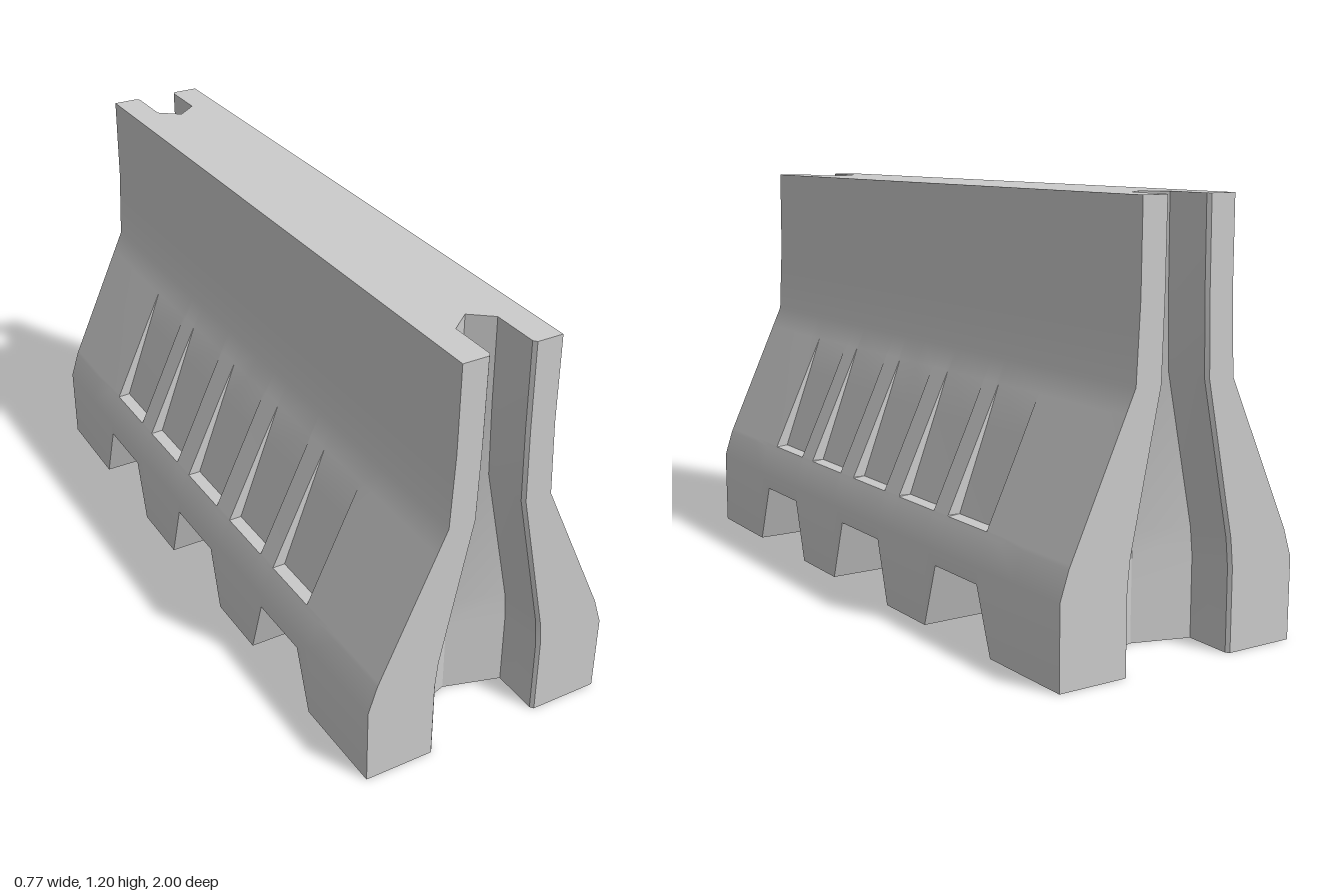
import * as THREE from 'three';
import { mergeGeometries, toCreasedNormals } from 'three/addons/utils/BufferGeometryUtils.js';

const HEIGHT = 1.2;

// Piecewise-linear lookup through [key, value] pairs
function lerpTable(table, k) {
  if (k <= table[0][0]) return table[0][1];
  for (let i = 1; i < table.length; i++) {
    const [k0, v0] = table[i - 1], [k1, v1] = table[i];
    if (k <= k1) return v0 + (v1 - v0) * (k - k0) / (k1 - k0);
  }
  return table[table.length - 1][1];
}

// Half width of the body, half width of the end groove, and underside height with forklift notches
const OUTER = [[0, 0.387], [0.23, 0.385], [0.31, 0.358], [0.735, 0.157], [0.95, 0.147], [1.2, 0.146]];
const GROOVE = [[0, 0.165], [0.23, 0.165], [0.31, 0.157], [0.735, 0.07], [0.95, 0.064], [1.2, 0.062]];
const NOTCH = [[0.11, 0.183], [0.165, 0], [0.375, 0], [0.43, 0.183], [0.635, 0.183], [0.7, 0]];
const underside = z => lerpTable(NOTCH, Math.abs(z));
const groove = y => lerpTable(GROOVE, y);
// The base swells slightly towards the middle of the length
const outer = (y, z) => lerpTable(OUTER, y) - 0.01 * z * z * Math.max(0, 1 - y / 0.735);

// Wedge pockets in the sloping flanks: deepest at the bottom, fading out at the top
const POCKETS = [-0.54, -0.275, 0, 0.275, 0.54];
const POCKET_HALF = 0.096, POCKET_LOW = 0.32, POCKET_TOP = 0.67, WALL = 0.003;
function pocketDepth(y, z) {
  if (y < POCKET_LOW + WALL / 2 || y > POCKET_TOP) return 0;
  const inside = POCKETS.some(c => Math.abs(z - c) < POCKET_HALF - WALL / 2);
  return inside ? 0.035 * (POCKET_TOP - y) / (POCKET_TOP - POCKET_LOW) : 0;
}

// Surface through a grid of points; its front faces rowDirection x columnDirection
function grid(rows, cols, point, flip) {
  const pos = [], index = [];
  rows.forEach(r => cols.forEach(c => pos.push(...point(r, c))));
  const n = cols.length;
  for (let i = 0; i < rows.length - 1; i++) {
    for (let j = 0; j < n - 1; j++) {
      const a = i * n + j, b = a + 1, d = a + n, c = d + 1;
      if (flip) index.push(a, c, d, a, b, c);
      else index.push(a, d, c, a, c, b);
    }
  }
  const g = new THREE.BufferGeometry();
  g.setAttribute('position', new THREE.Float32BufferAttribute(pos, 3));
  g.setIndex(index);
  return g;
}

export function createModel() {
  const group = new THREE.Group();
  const material = new THREE.MeshStandardMaterial({ color: 0xcccccc });
  const add = (name, geometries) => {
    const mesh = new THREE.Mesh(toCreasedNormals(mergeGeometries(geometries), 0.5), material);
    mesh.name = name;
    group.add(mesh);
  };
  const sides = [1, -1];

  // Stations along the length: notch corners, groove corners and pocket edges
  const stations = new Set([0]);
  for (const s of sides) {
    for (const z of [...NOTCH.map(p => p[0]), 0.8, 0.85, 0.99, 1]) stations.add(s * z);
    for (const c of POCKETS) {
      stations.add(c + s * POCKET_HALF);
      stations.add(c + s * (POCKET_HALF - WALL));
    }
  }
  const zs = [...stations].sort((a, b) => a - b);

  // Flanks with pockets; the lowest row follows the notches
  const levels = [0, 0.23, 0.31, POCKET_LOW, POCKET_LOW + WALL, 0.44, 0.56, POCKET_TOP, 0.735, 0.84, 0.95, HEIGHT];
  add('flanks', sides.map(s => grid(levels, zs, (level, z) => {
    const y = level === 0 ? underside(z) : level;
    return [s * (outer(y, z) - pocketDepth(y, z)), y, z];
  }, s < 0)));

  // Plan of the end: groove floor ridge, groove wall, bevelled lip
  const innerEdge = (y, z) => {
    const g = groove(y);
    return lerpTable([[0.8, 0], [0.85, g], [0.99, g], [1, g + 0.008]], Math.abs(z));
  };

  // Top and underside strips, open where the end grooves pass through
  add('topFace', sides.map(s => grid(zs, [0, 1], (z, t) =>
    [s * (t ? outer(HEIGHT, z) : innerEdge(HEIGHT, z)), HEIGHT, z], s < 0)));
  add('undersideWithNotches', sides.map(s => grid([0, 1], zs, (t, z) => {
    const y = underside(z);
    return [s * (t ? outer(y, z) : innerEdge(y, z)), y, z];
  }, s < 0)));

  // Grooved ends
  const endPlan = [0.8, 0.85, 0.99, 1, 'edge'];
  const endLevels = OUTER.map(p => p[0]);
  for (const e of sides) {
    add(e > 0 ? 'frontEndGroove' : 'backEndGroove', sides.map(s => grid(endPlan, endLevels, (z, y) =>
      z === 'edge' ? [s * outer(y, 1), y, e] : [s * innerEdge(y, z), y, e * z], s * e < 0)));
  }

  return group;
}
